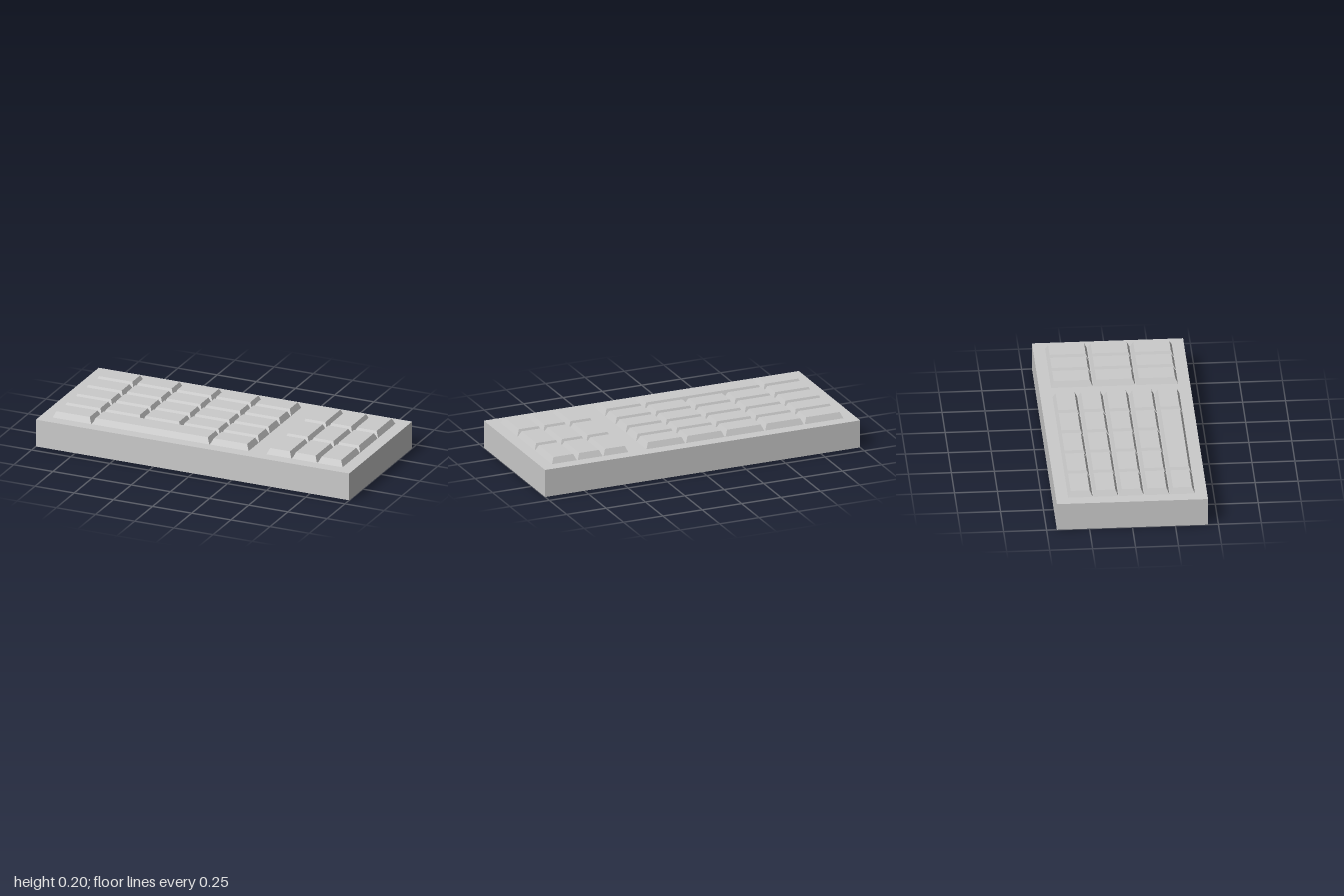
import * as THREE from 'three';

const material = new THREE.MeshStandardMaterial({ color: 0xcccccc });
const DECK = 0.168, KEY_HEIGHT = 0.036, GAP = 0.006, TAPER = 0.016;

// Keycap: a box whose top face is drawn in by the same margin on every side
function makeKey(name, x0, x1, z0, z1) {
  const w = x1 - x0 - GAP, d = z1 - z0 - GAP;
  const geometry = new THREE.BoxGeometry(w, KEY_HEIGHT, d);
  const p = geometry.attributes.position;
  for (let i = 0; i < p.count; i++) {
    if (p.getY(i) < 0) continue;
    p.setX(i, Math.sign(p.getX(i)) * (w / 2 - TAPER));
    p.setZ(i, Math.sign(p.getZ(i)) * (d / 2 - TAPER));
  }
  geometry.computeVertexNormals();
  const key = new THREE.Mesh(geometry, material);
  key.name = name;
  key.position.set((x0 + x1) / 2, DECK + KEY_HEIGHT / 2, (z0 + z1) / 2);
  return key;
}

// Block of keys; each row lists its key widths in columns
function makeBlock(name, x0, z0, pitchX, pitchZ, rows) {
  const block = new THREE.Group();
  block.name = name;
  rows.forEach((widths, r) => {
    let column = 0;
    for (const span of widths) {
      const z = z0 + r * pitchZ;
      block.add(makeKey(span > 1 ? 'spaceBar' : 'key',
        x0 + column * pitchX, x0 + (column + span) * pitchX, z, z + pitchZ));
      column += span;
    }
  });
  return block;
}

export function createModel() {
  const keyboard = new THREE.Group();
  keyboard.name = 'keyboard';

  // Solid slab case
  const base = new THREE.Mesh(new THREE.BoxGeometry(2, DECK, 0.88), material);
  base.name = 'case';
  base.position.y = DECK / 2;
  keyboard.add(base);

  // Main keys: four full rows and a front row with the space bar
  const full = [1, 1, 1, 1, 1];
  keyboard.add(makeBlock('mainKeys', -0.928, -0.372, 0.2512, 0.1488,
    [full, full, full, full, [1, 3, 1]]));

  // Number pad: three by three
  const pad = [1, 1, 1];
  keyboard.add(makeBlock('numberPad', 0.437, -0.372, 0.1637, 0.248, [pad, pad, pad]));

  return keyboard;
}
